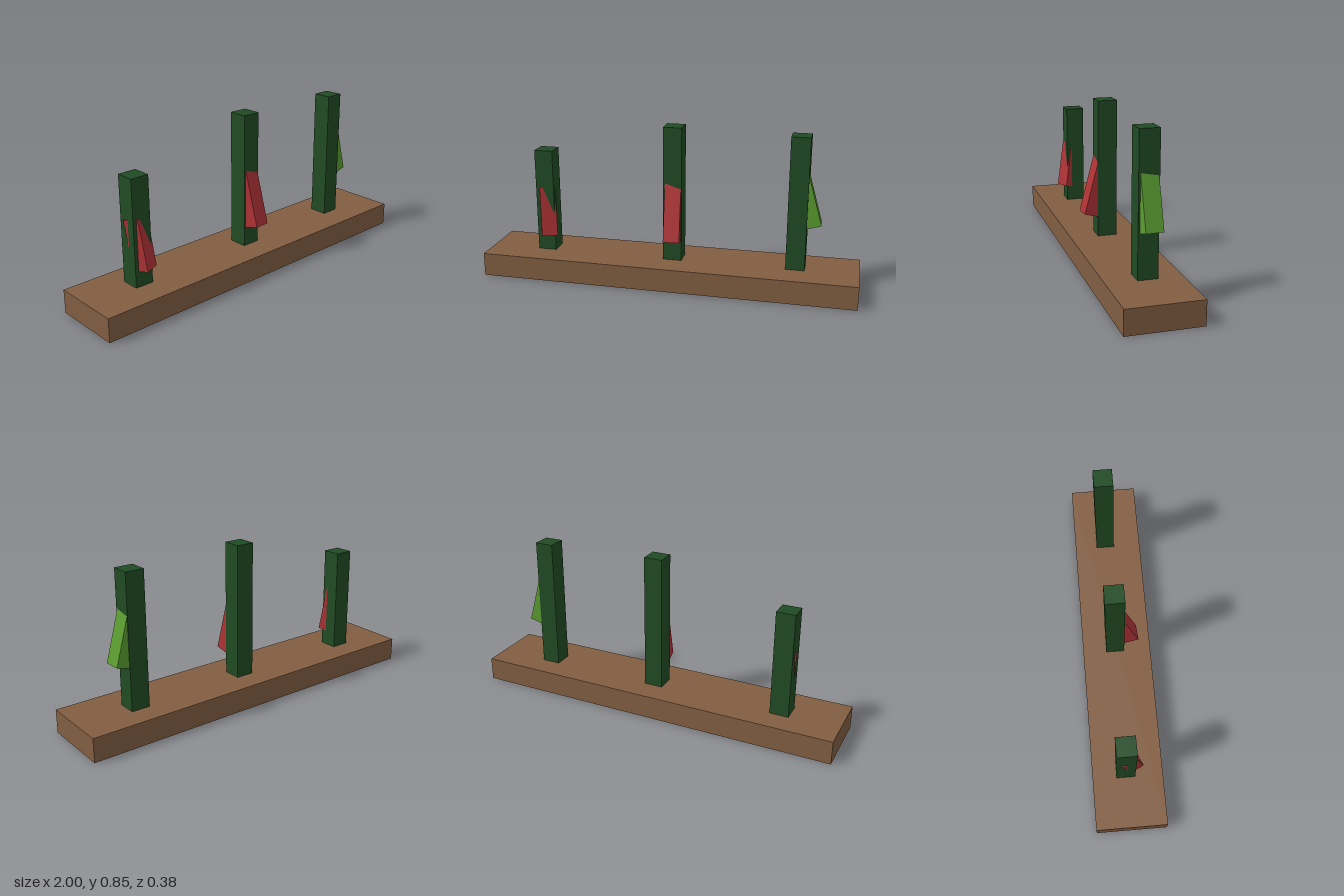
import * as THREE from 'three';

export function createModel() {
  const mat = (name, color, side = THREE.FrontSide) => {
    const m = new THREE.MeshStandardMaterial({ color, side });
    m.name = name;
    return m;
  };
  const brown = mat('brown', 0x825e42, THREE.DoubleSide);
  const darkGreen = mat('dark green', 0x214b24);
  const red = mat('red', 0xb03336);
  const lightGreen = mat('light green', 0x5a9c30);

  const model = new THREE.Group();
  model.name = 'postsOnPlinth';
  const add = (name, geometry, material) => {
    const mesh = new THREE.Mesh(geometry, material);
    mesh.name = name;
    model.add(mesh);
    return mesh;
  };

  // Hollow plinth: a box without its bottom face
  const baseH = 0.125;
  const baseGeo = new THREE.BoxGeometry(2, baseH, 0.375);
  const index = Array.from(baseGeo.index.array);
  index.splice(18, 6); // the fourth side of a box is its bottom
  baseGeo.clearGroups();
  baseGeo.setIndex(index);
  add('base', baseGeo, brown).position.y = baseH / 2;

  // Square posts standing on the plinth
  const post = (name, x, z, top) => {
    const h = top - baseH;
    add(name, new THREE.BoxGeometry(0.099, h, 0.1), darkGreen).position.set(x, baseH + h / 2, z);
  };
  post('rightPost', -0.687, -0.011, 0.683);
  post('middlePost', 0.021, -0.009, 0.845);
  post('leftPost', 0.671, -0.014, 0.828);

  // Tilted arms let into the posts, placed by the middle of their lower outer edge
  const arm = (name, material, [x, y, z], [w, h, d], yaw, tilt) => {
    const geo = new THREE.BoxGeometry(w, h, d).translate(0, h / 2, -d / 2);
    const mesh = add(name, geo, material);
    mesh.position.set(x, y, z);
    mesh.rotation.set(THREE.MathUtils.degToRad(-tilt), THREE.MathUtils.degToRad(yaw), 0, 'YXZ');
  };
  arm('rightArm', red, [-0.658, 0.214, 0.068], [0.085, 0.265, 0.08], 24, 9.3);
  arm('middleArm', red, [0.031, 0.25, 0.117], [0.085, 0.33, 0.086], 5, 15);
  arm('leftArm', lightGreen, [0.792, 0.371, -0.02], [0.087, 0.27, 0.085], 93, 16);

  return model;
}
